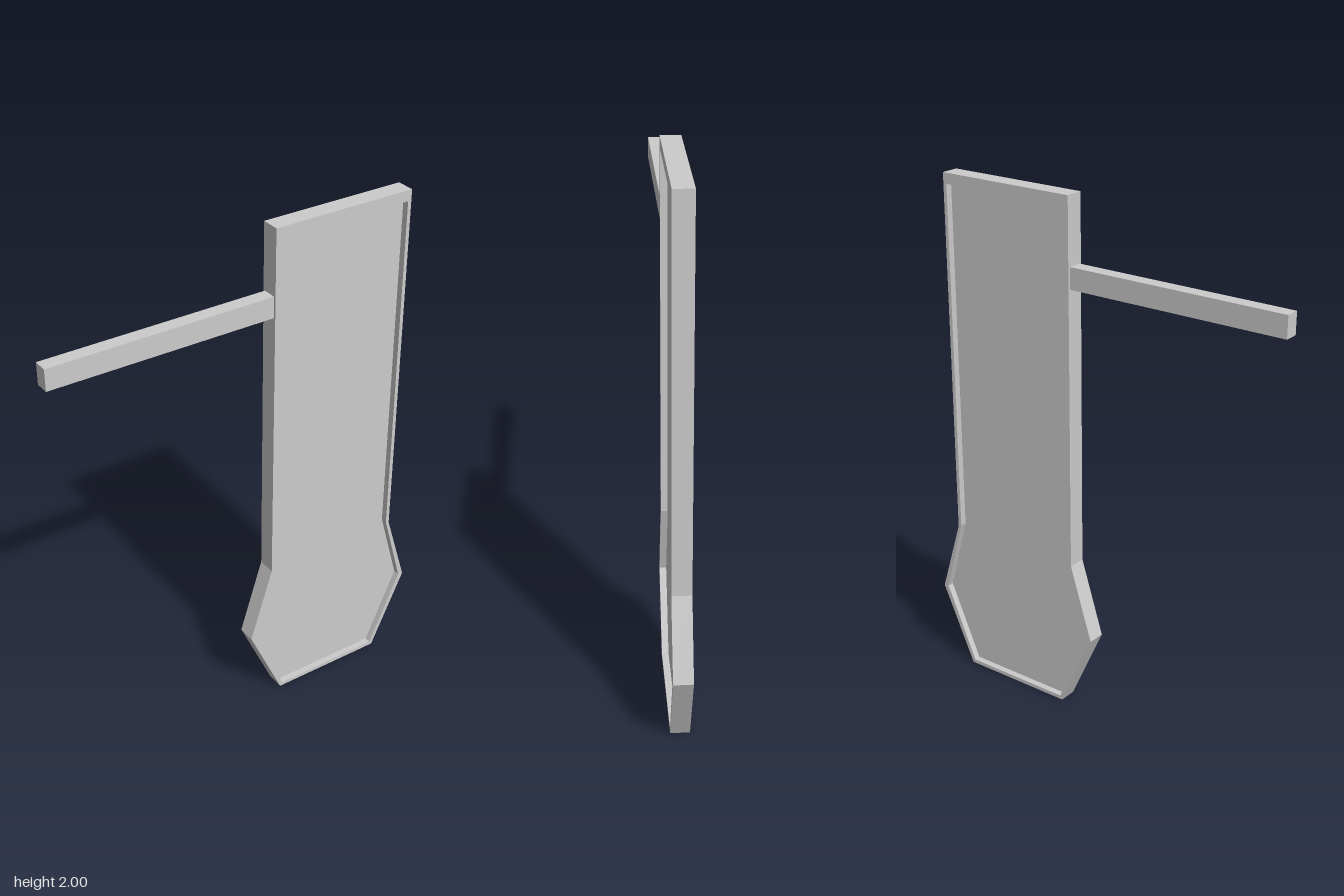
import * as THREE from 'three';

const CX = 0.38; // centre line of the plate

// Symmetric outline from [half width, height] pairs, bottom to top
function outline(half, Type) {
  const right = half.map(([w, y]) => new THREE.Vector2(CX + w, y));
  const left = half.map(([w, y]) => new THREE.Vector2(CX - w, y)).reverse();
  return new Type([...right, ...left]);
}

// Extrusion centred on z = 0
function slab(shape, depth) {
  const geometry = new THREE.ExtrudeGeometry(shape, { depth, bevelEnabled: false });
  return geometry.translate(0, 0, -depth / 2);
}

export function createModel() {
  const group = new THREE.Group();
  const material = new THREE.MeshStandardMaterial({ color: 0xcccccc, flatShading: true });
  const add = (name, geometry) => {
    const mesh = new THREE.Mesh(geometry, material);
    mesh.name = name;
    group.add(mesh);
    return mesh;
  };

  const outer = [[0.23, 0], [0.37, 0.312], [0.279, 0.605], [0.279, 2]];
  const inner = [[0.22, 0.015], [0.349, 0.315], [0.265, 0.61], [0.265, 1.96]];

  // Raised rim around the plate
  const rim = outline(outer, THREE.Shape);
  rim.holes.push(outline(inner, THREE.Path));
  add('rim', slab(rim, 0.07));

  // Panel recessed on both faces
  add('panel', slab(outline(inner, THREE.Shape), 0.02));

  // Arm reaching out from the side
  const arm = add('arm', new THREE.BoxGeometry(0.853, 0.08, 0.053));
  arm.position.set(-0.3235, 1.712, 0);

  return group;
}
